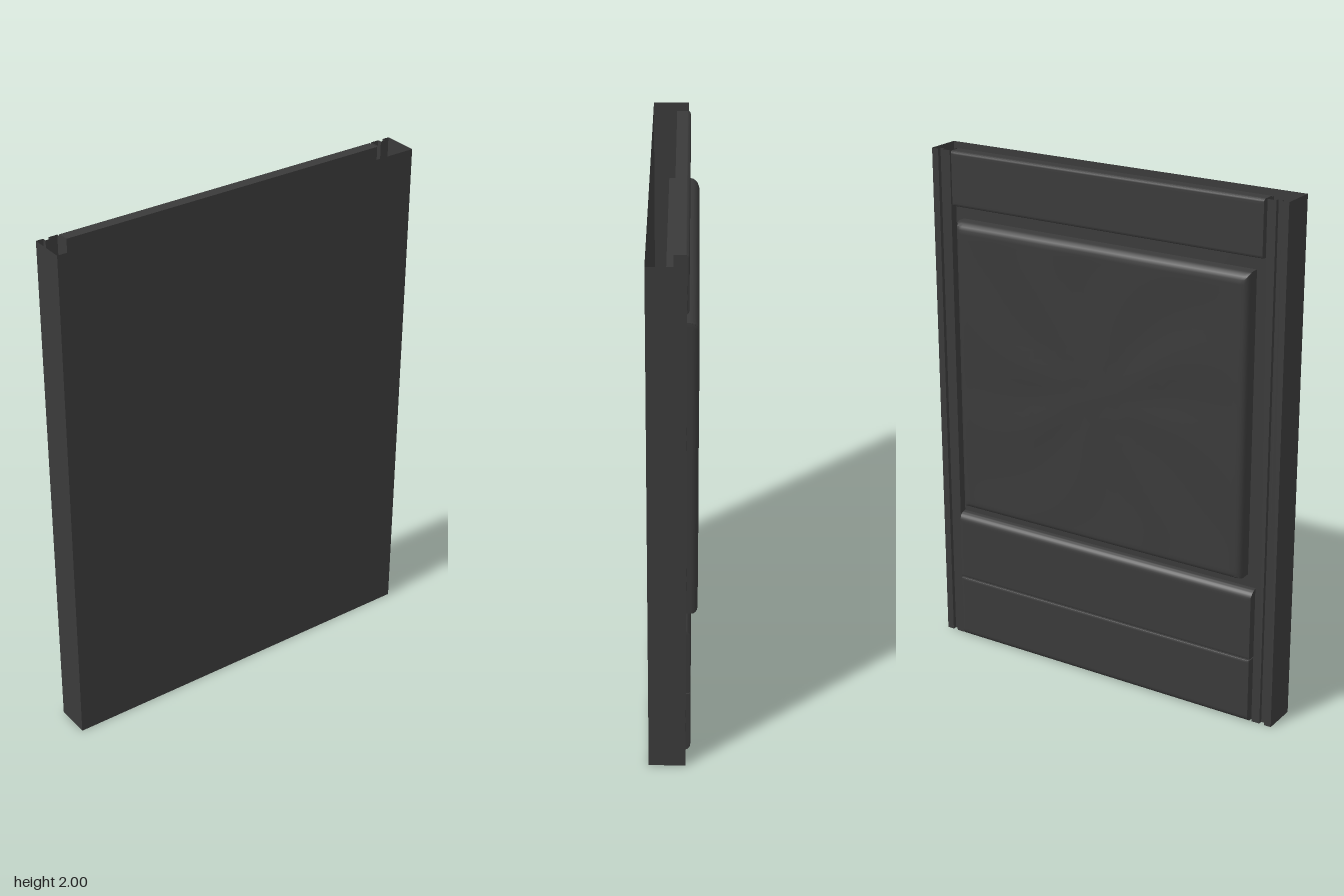
import * as THREE from 'three';
import { toCreasedNormals } from 'three/addons/utils/BufferGeometryUtils.js';

const material = new THREE.MeshStandardMaterial({ color: 0x3a3a3a });
const sheetMaterial = new THREE.MeshStandardMaterial({ color: 0x3a3a3a, side: THREE.DoubleSide });

// Open folded sheet: an x-z profile swept straight up
function foldedSheet(profile, height) {
  const p = [];
  for (let i = 0; i < profile.length - 1; i++) {
    const [ax, az] = profile[i], [bx, bz] = profile[i + 1];
    p.push(ax, 0, az, bx, 0, bz, bx, height, bz);
    p.push(ax, 0, az, bx, height, bz, ax, height, az);
  }
  const g = new THREE.BufferGeometry();
  g.setAttribute('position', new THREE.Float32BufferAttribute(p, 3));
  g.computeVertexNormals();
  return g;
}

// Slab whose back face is rounded towards its edges, with an optional ripple
function paddedSlab({ halfWidth, y0, y1, zFront, zBack, top, bottom, side, ripple }) {
  const h = y1 - y0;
  const g = new THREE.BoxGeometry(2, 2, 2, 40, 40, 1);
  const pos = g.attributes.position;
  const lift = (e, r) => (e >= r ? 0 : r - Math.sqrt(r * r - (r - e) ** 2));
  for (let i = 0; i < pos.count; i++) {
    // crowd the grid lines near the edges
    const u = Math.sin(pos.getX(i) * Math.PI / 2);
    const v = Math.sin(pos.getY(i) * Math.PI / 2);
    let z = zFront;
    if (pos.getZ(i) < 0) {
      const ex = halfWidth * (1 - Math.abs(u));
      z = zBack + Math.max(
        lift(ex, side),
        lift(h * (1 - v) / 2, top),
        lift(h * (1 + v) / 2, bottom));
      if (ripple) z += ripple(u, v);
    }
    pos.setXYZ(i, halfWidth * u, y0 + h * (1 + v) / 2, z);
  }
  return toCreasedNormals(g, 0.7);
}

export function createModel() {
  const group = new THREE.Group();
  const add = (name, geometry, mat = material) => {
    const mesh = new THREE.Mesh(geometry, mat);
    mesh.name = name;
    group.add(mesh);
    return mesh;
  };

  // Front skin, side walls and grooved edge rails as one folded sheet
  const half = [
    [0.75, 0.09], [0.75, -0.045], [0.722, -0.045], [0.722, -0.03],
    [0.702, -0.03], [0.702, -0.045], [0.668, -0.045], [0.668, 0],
  ];
  const profile = [...half].reverse().concat(half.map(([x, z]) => [-x, z]));
  add('outerShell', foldedSheet(profile, 2), sheetMaterial);

  // Backing board seen in the gaps between the panels
  const backing = add('backingBoard', new THREE.BoxGeometry(1.32, 1.98, 0.025));
  backing.position.set(0, 1, -0.0125);

  // Flat trim panels
  const trim = { halfWidth: 0.66, zFront: 0, side: 0.006 };
  add('upperPanel', paddedSlab({ ...trim, y0: 1.79, y1: 2, zBack: -0.052, top: 0.012, bottom: 0.01 }));
  add('middlePanel', paddedSlab({ ...trim, y0: 0.262, y1: 0.54, zBack: -0.062, top: 0.035, bottom: 0.005 }));
  add('lowerPanel', paddedSlab({ ...trim, y0: 0, y1: 0.258, zBack: -0.062, top: 0.005, bottom: 0.025 }));

  // Padded cushion with soft creases radiating from the centre
  const ripple = (u, v) => {
    const fade = (1 - u ** 4) * (1 - v ** 4);
    const a = Math.atan2(v, u), r = Math.hypot(u, v);
    return 0.0025 * fade * Math.min(1, r * 2) * (1 + Math.cos(8 * a + 1.5 * Math.sin(3 * r)));
  };
  add('cushion', paddedSlab({
    halfWidth: 0.625, y0: 0.588, y1: 1.742, zFront: 0.03, zBack: -0.086,
    top: 0.035, bottom: 0.015, side: 0.025, ripple,
  }));

  return group;
}
